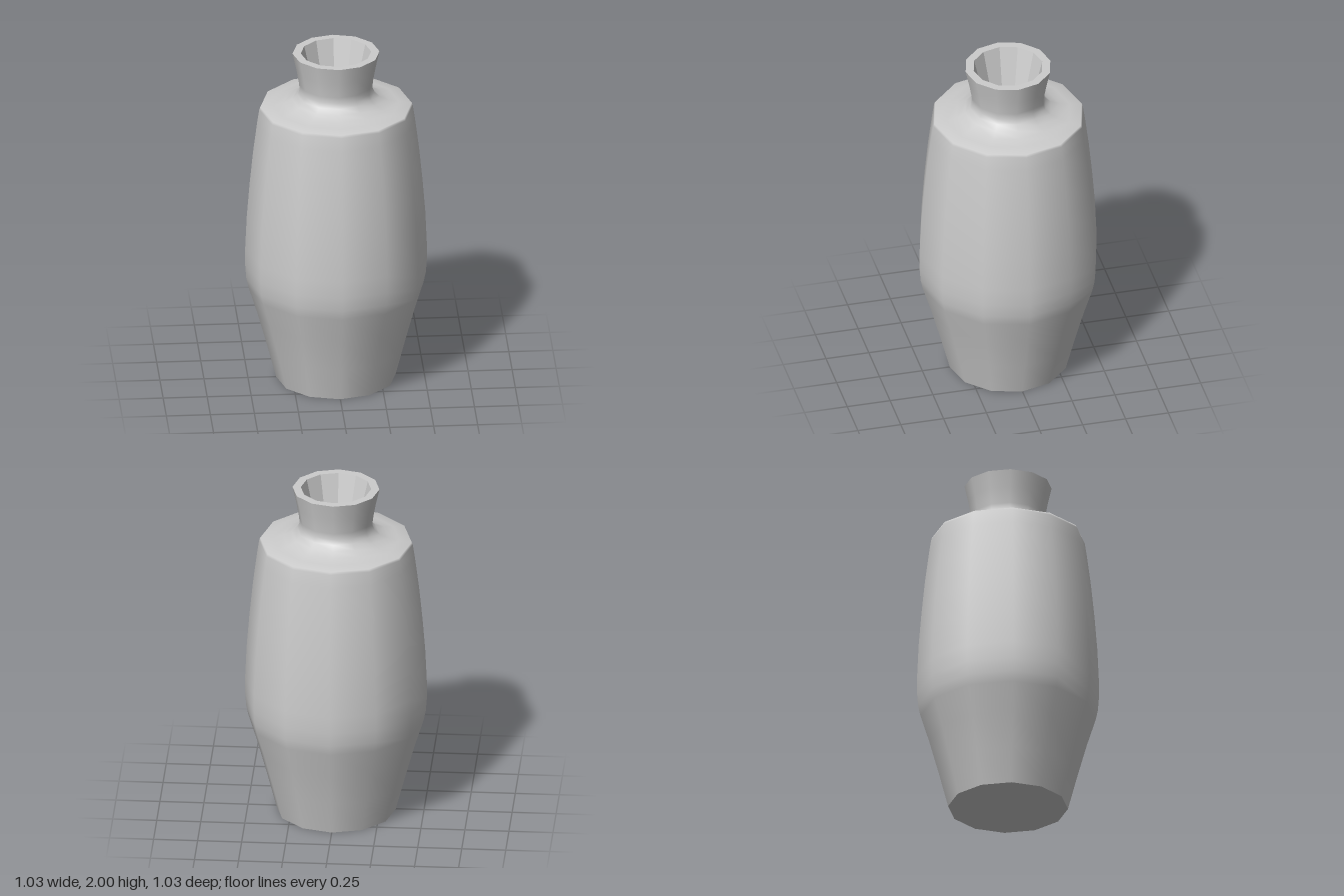
import * as THREE from 'three';

const SIDES = 12;

// Turns a profile of [radius, height] pairs around the y axis
function turned(name, profile, flatShading) {
  const points = profile.map(([r, y]) => new THREE.Vector2(r, y));
  const material = new THREE.MeshStandardMaterial({ color: 0xcccccc, flatShading });
  const mesh = new THREE.Mesh(new THREE.LatheGeometry(points, SIDES), material);
  mesh.name = name;
  return mesh;
}

export function createModel() {
  const vase = new THREE.Group();
  vase.name = 'vase';

  // Smooth outer wall: foot, belly, shoulder and flared neck
  vase.add(turned('body', [
    [0.34, 0], [0.392, 0.2], [0.447, 0.4], [0.497, 0.56], [0.51, 0.62],
    [0.516, 0.7], [0.516, 0.8], [0.507, 1.0], [0.491, 1.2], [0.471, 1.4],
    [0.448, 1.58], [0.436, 1.66], [0.43, 1.675],
    [0.36, 1.684], [0.3, 1.697], [0.25, 1.718], [0.22, 1.745],
    [0.208, 1.775], [0.209, 1.81], [0.225, 1.9], [0.247, 2],
  ], false));

  // Flat rim, tapering faceted mouth and its floor
  vase.add(turned('rim', [[0.247, 2], [0.2, 2]], true));
  vase.add(turned('mouth', [[0.2, 2], [0.135, 1.74], [0, 1.74]], true));

  // Closed underside
  vase.add(turned('base', [[0, 0], [0.34, 0]], true));

  return vase;
}
